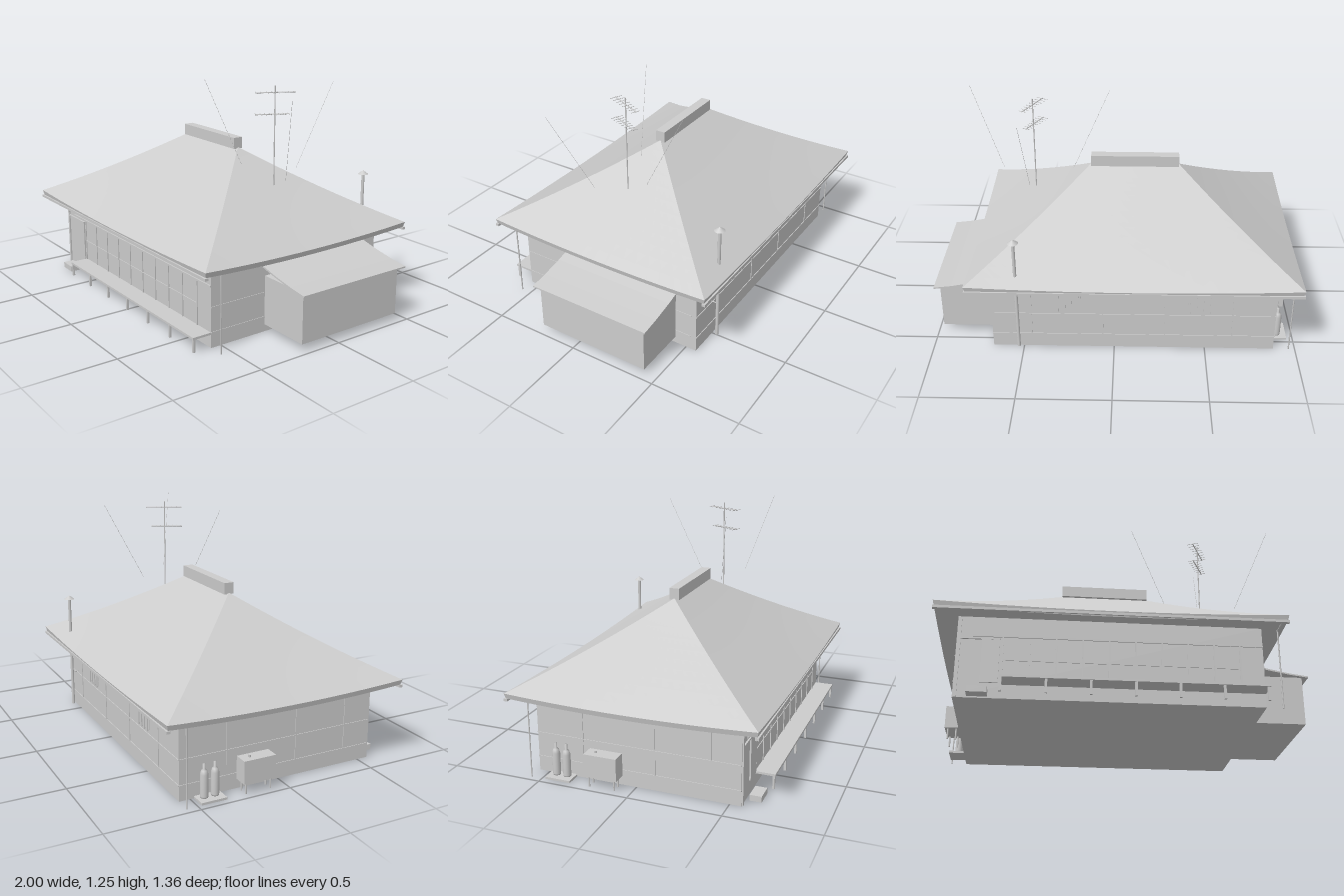
import * as THREE from 'three';
import { ParametricGeometry } from 'three/addons/geometries/ParametricGeometry.js';

const grey = new THREE.MeshStandardMaterial({ color: 0xcccccc });
grey.name = 'lightGrey';
const greySheet = new THREE.MeshStandardMaterial({ color: 0xcccccc, side: THREE.DoubleSide });
greySheet.name = 'lightGreySheet';

export function createModel() {
  const root = new THREE.Group();
  root.name = 'house';

  const add = (name, geometry, material = grey, parent = root) => {
    const m = new THREE.Mesh(geometry, material);
    m.name = name;
    parent.add(m);
    return m;
  };
  // Box given by its minimum and maximum on each axis
  const box = (name, x0, x1, y0, y1, z0, z1) => {
    const m = add(name, new THREE.BoxGeometry(x1 - x0, y1 - y0, z1 - z0));
    m.position.set((x0 + x1) / 2, (y0 + y1) / 2, (z0 + z1) / 2);
    return m;
  };
  // Round rod between two points
  const rod = (name, a, b, r, sides = 6) => {
    const p = new THREE.Vector3(...a), q = new THREE.Vector3(...b);
    const d = q.clone().sub(p);
    const m = add(name, new THREE.CylinderGeometry(r, r, d.length(), sides));
    m.position.copy(p).add(q).multiplyScalar(0.5);
    m.quaternion.setFromUnitVectors(new THREE.Vector3(0, 1, 0), d.normalize());
    return m;
  };

  // Main body
  box('body', -0.88, 0.67, 0, 0.435, -0.56, 0.56);

  // Curved hip roof: four slopes, each with an eave edge and a soffit
  const cx = -0.105;
  const corners = [[-1, 1], [1, 1], [1, -1], [-1, -1]];
  const onSide = (side, u, hx, hz, y, target) => {
    const a = corners[side], b = corners[(side + 1) % 4];
    target.set(cx + hx * (a[0] + (b[0] - a[0]) * u), y, hz * (a[1] + (b[1] - a[1]) * u));
  };
  const sag = (u, t) => 0.02 * t * t * t * (1 - (2 * u - 1) ** 2);
  const sheet = (name, fn, nu, nv) => {
    const g = new ParametricGeometry(fn, nu, nv);
    g.computeVertexNormals();
    add(name, g, greySheet);
  };
  ['front', 'right', 'back', 'left'].forEach((label, s) => {
    sheet(label + 'RoofSlope', (u, v, p) => {
      const t = 1 - v;
      onSide(s, u, 0.245 + 0.65 * t, 0.675 * t, 0.86 - 0.46 * t + 0.062 * t * t - sag(u, t), p);
    }, 16, 12);
    sheet(label + 'EaveEdge', (u, v, p) =>
      onSide(s, u, 0.888 + 0.007 * v, 0.668 + 0.007 * v, 0.434 + 0.028 * v - sag(u, 1), p), 16, 1);
    sheet(label + 'Soffit', (u, v, p) =>
      onSide(s, u, 0.775 + 0.113 * v, 0.56 + 0.108 * v, 0.434 - sag(u, 1) * v, p), 16, 1);
  });
  box('ridgeCap', -0.352, 0.142, 0.852, 0.915, -0.028, 0.028);

  // Gutters along front and back, with a downpipe at two corners
  for (const s of [1, -1]) {
    box('gutter', -1, 0.79, 0.42, 0.434, s * 0.668 - 0.01, s * 0.668 + 0.01);
    const x = s > 0 ? 0.755 : -0.965;
    rod('downpipe', [x, 0, s * 0.56], [x, 0.43, s * 0.56], 0.004);
    rod('downpipeElbow', [x, 0.425, s * 0.56], [x, 0.425, s * 0.66], 0.004);
  }

  // Front wall: rails, sliding panel frames and entrance
  box('frontLintel', -0.8, 0.67, 0.325, 0.335, 0.56, 0.566);
  box('frontMidRail', -0.65, 0.55, 0.2, 0.204, 0.56, 0.564);
  for (let i = 0; i <= 9; i++) {
    const x = -0.65 + i * 0.1333;
    box('panelFrame', x - 0.004, x + 0.004, 0.08, 0.33, 0.56, 0.565);
  }
  box('entranceDoor', -0.755, -0.665, 0.08, 0.315, 0.56, 0.568);
  box('entranceHead', -0.86, -0.665, 0.31, 0.318, 0.56, 0.569);
  box('entrancePost', -0.875, -0.86, 0, 0.42, 0.56, 0.568);

  // Veranda on short posts and the step stone
  box('verandaDeck', -0.655, 0.67, 0.072, 0.084, 0.56, 0.668);
  for (let i = 0; i < 7; i++) {
    const x = -0.648 + i * 0.218;
    box('verandaPost', x - 0.006, x + 0.006, 0, 0.074, 0.652, 0.664);
  }
  box('stepStone', -0.81, -0.71, 0, 0.032, 0.58, 0.643);

  // Thin timber strips on the back and end walls
  for (const y of [0.08, 0.215]) {
    box('backRail', -0.88, 0.67, y, y + 0.006, -0.564, -0.56);
    box('leftEndRail', -0.884, -0.88, y, y + 0.006, -0.56, 0.56);
    box('rightEndRail', 0.67, 0.673, y, y + 0.006, -0.53, 0.56);
  }
  for (const x of [-0.65, -0.28, 0.06, 0.45]) box('backStud', x, x + 0.006, 0.08, 0.42, -0.564, -0.56);
  for (const z of [-0.3, 0.1, 0.4]) box('leftEndStud', -0.884, -0.88, 0.08, 0.42, z, z + 0.006);

  // Barred back windows
  for (const x of [0.25, -0.47]) {
    box('windowPane', x - 0.07, x + 0.07, 0.245, 0.34, -0.563, -0.56);
    for (let i = -1.5; i < 2; i++) {
      box('windowBar', x + i * 0.036 - 0.003, x + i * 0.036 + 0.003, 0.235, 0.35, -0.569, -0.56);
    }
  }

  // Annex with a lean-to roof
  box('annex', 0.67, 0.97, 0.04, 0.31, -0.435, 0.22);
  const slope = new THREE.Shape([[0.67, 0.365], [0.78, 0.338], [0.9, 0.316], [1, 0.303],
    [1, 0.311], [0.9, 0.324], [0.78, 0.347], [0.67, 0.375]].map(p => new THREE.Vector2(...p)));
  const annexRoof = add('annexRoof', new THREE.ExtrudeGeometry(slope, { depth: 0.707, bevelEnabled: false }));
  annexRoof.position.z = -0.464;
  box('annexFlashing', 0.67, 0.684, 0.368, 0.4, -0.472, 0.256);

  // Flue on the back wall
  rod('flue', [0.523, 0.03, -0.602], [0.523, 0.7, -0.602], 0.009, 12);
  add('flueCap', new THREE.ConeGeometry(0.029, 0.022, 16)).position.set(0.523, 0.704, -0.602);
  for (const y of [0.235, 0.4]) rod('flueBracket', [0.523, y, -0.555], [0.523, y, -0.602], 0.003);

  // Fuel tank on legs
  box('fuelTank', -0.972, -0.895, 0.06, 0.183, -0.25, -0.07);
  for (const x of [-0.955, -0.91]) for (const z of [-0.23, -0.09]) {
    rod('tankLeg', [x, 0, z], [x, 0.065, z], 0.005);
  }
  rod('tankFiller', [-0.933, 0.18, -0.2], [-0.933, 0.195, -0.2], 0.007, 8);

  // Gas bottles on a slab
  box('bottleSlab', -0.965, -0.88, 0, 0.012, -0.48, -0.34);
  const bottle = [[0, 0.01], [0.02, 0.01], [0.021, 0.02], [0.021, 0.135], [0.015, 0.155],
    [0.007, 0.162], [0.007, 0.19], [0, 0.19]].map(p => new THREE.Vector2(...p));
  for (const z of [-0.44, -0.38]) {
    add('gasBottle', new THREE.LatheGeometry(bottle, 14)).position.set(-0.912, 0, z);
  }

  // Aerial mast with two booms of cross elements
  const mx = 0.46;
  rod('aerialMast', [mx, 0.71, 0], [mx, 1.245, 0], 0.0035);
  for (const [y, end] of [[1.21, 0.11], [1.095, 0.08]]) {
    const at = (along, across) => [mx + 0.43 * along + 0.9 * across, y, -0.9 * along + 0.43 * across];
    rod('aerialBoom', at(-0.105, 0), at(end, 0), 0.003);
    for (let i = 0; i < 8; i++) {
      const a = -0.1 + i * (end + 0.095) / 7;
      rod('aerialElement', at(a, -0.034 + i * 0.0015), at(a, 0.034 - i * 0.0015), 0.0016, 5);
    }
  }

  // Fine stay wires
  for (const [a, b] of [
    [[0.04, 1.24, 0.155], [0.25, 0.79, 0.057]],
    [[0.84, 1.24, 0.205], [0.65, 0.79, 0.077]],
    [[0.5, 1.24, -0.37], [0.48, 0.79, -0.137]],
  ]) rod('stayWire', a, b, 0.0009, 4);

  return root;
}
